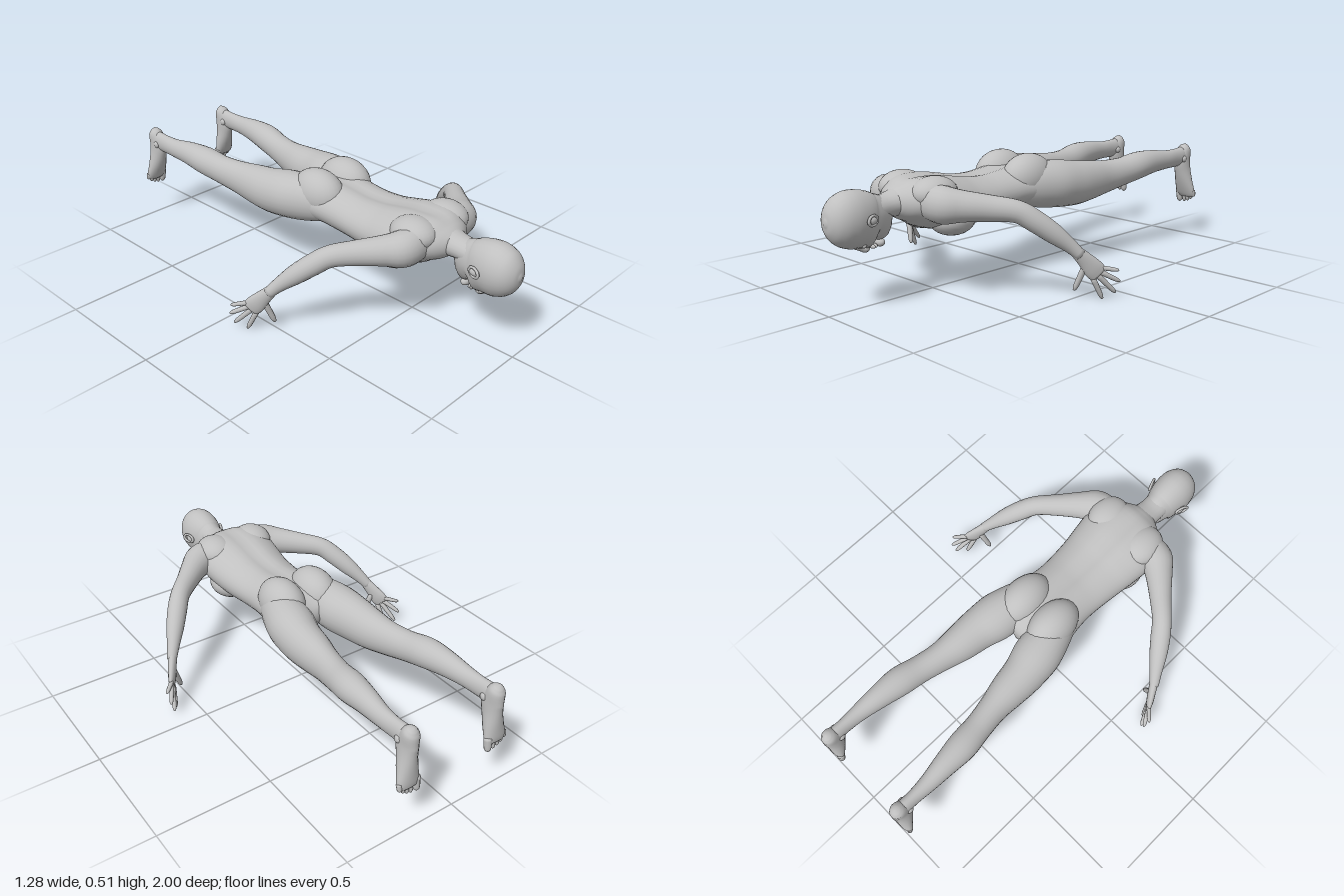
import * as THREE from 'three';

const skin = new THREE.MeshStandardMaterial({ color: 0xc0c0c0 });
skin.name = 'plain grey';

// Smooth closed tube through sections [x, y, z, halfSide, halfUp]; ref gives the "up" of each ring
function loft(name, sections, ref, { sides = 20, steps = 4, warp = null } = {}) {
  const up = new THREE.Vector3(...ref);
  const path = new THREE.CatmullRomCurve3(sections.map(s => new THREE.Vector3(s[0], s[1], s[2])), false, 'catmullrom', 0.5);
  const size = new THREE.CatmullRomCurve3(sections.map(s => new THREE.Vector3(s[3], s[4], 0)), false, 'catmullrom', 0.5);
  const rows = (sections.length - 1) * steps;
  const pos = [], idx = [], caps = [];
  for (let i = 0; i <= rows; i++) {
    const c = path.getPoint(i / rows), r = size.getPoint(i / rows), t = path.getTangent(i / rows);
    const u = up.clone().addScaledVector(t, -up.dot(t)).normalize();
    const s = new THREE.Vector3().crossVectors(u, t);
    for (let j = 0; j < sides; j++) {
      const a = (j / sides) * Math.PI * 2;
      const p = c.clone().addScaledVector(s, Math.cos(a) * r.x).addScaledVector(u, Math.sin(a) * r.y);
      if (warp) warp(p, c);
      pos.push(p.x, p.y, p.z);
    }
    const bulge = Math.min(r.x, r.y) * 0.5;
    if (i === 0) caps.push(c.clone().addScaledVector(t, -bulge));
    if (i === rows) caps.push(c.clone().addScaledVector(t, bulge));
  }
  caps.forEach(c => pos.push(c.x, c.y, c.z));
  const start = (rows + 1) * sides, last = rows * sides;
  for (let j = 0; j < sides; j++) {
    const k = (j + 1) % sides;
    for (let i = 0; i < rows; i++) {
      const a = i * sides + j, b = i * sides + k;
      idx.push(a, b, a + sides, b, b + sides, a + sides);
    }
    idx.push(start, k, j, start + 1, last + j, last + k);
  }
  const g = new THREE.BufferGeometry();
  g.setAttribute('position', new THREE.Float32BufferAttribute(pos, 3));
  g.setIndex(idx);
  g.computeVertexNormals();
  const m = new THREE.Mesh(g, skin);
  m.name = name;
  return m;
}

function blob(name, p, r) {
  const g = new THREE.SphereGeometry(1, 24, 16);
  g.scale(...r);
  const m = new THREE.Mesh(g, skin);
  m.name = name;
  m.position.set(...p);
  return m;
}

// Finger or toe: rounded tapering rod from base to tip
function digit(name, a, b, r, ref) {
  const at = (t, k) => [0, 1, 2].map(i => a[i] + (b[i] - a[i]) * t).concat(r * k, r * k);
  return loft(name, [at(0, 1.1), at(0.5, 1), at(0.85, 0.85), at(1, 0.45)], ref, { sides: 10, steps: 3 });
}

export function createModel() {
  const body = new THREE.Group();
  body.name = 'proneFigure';
  const Y = [0, 1, 0];

  // Torso with a shallow groove along the spine
  body.add(loft('torso', [
    [0, 0.395, 0.70, 0.06, 0.045], [0, 0.395, 0.66, 0.12, 0.073], [0, 0.395, 0.60, 0.172, 0.10],
    [0, 0.380, 0.52, 0.188, 0.113], [0, 0.366, 0.44, 0.18, 0.113], [0, 0.358, 0.36, 0.168, 0.107],
    [0, 0.360, 0.26, 0.158, 0.099], [0, 0.366, 0.18, 0.155, 0.10], [0, 0.375, 0.10, 0.163, 0.10],
    [0, 0.380, 0.02, 0.178, 0.10], [0, 0.370, -0.05, 0.165, 0.08], [0, 0.36, -0.085, 0.10, 0.05],
  ], Y, {
    sides: 40,
    warp: (p, c) => {
      if (p.y > c.y) p.y -= 0.016 * Math.exp(-((p.x / 0.035) ** 2)) * Math.min(1, Math.max(0, (0.68 - p.z) / 0.1));
    },
  }));

  // Neck
  body.add(loft('neck', [
    [0, 0.400, 0.60, 0.10, 0.07], [0, 0.396, 0.66, 0.075, 0.06], [0, 0.390, 0.72, 0.058, 0.048],
    [0, 0.385, 0.77, 0.057, 0.05], [0, 0.38, 0.82, 0.06, 0.06],
  ], Y));

  // Head, from chin to crown, facing down
  const head = new THREE.Group();
  head.name = 'head';
  head.add(loft('skull', [
    [0, 0.275, 0.745, 0.026, 0.028], [0, 0.305, 0.76, 0.046, 0.066], [0, 0.336, 0.785, 0.063, 0.099],
    [0, 0.346, 0.82, 0.075, 0.107], [0, 0.357, 0.86, 0.085, 0.112], [0, 0.362, 0.90, 0.088, 0.112],
    [0, 0.363, 0.94, 0.081, 0.10], [0, 0.363, 0.97, 0.064, 0.078], [0, 0.363, 0.99, 0.038, 0.046],
    [0, 0.363, 0.997, 0.014, 0.016],
  ], Y, { sides: 28 }));
  head.add(loft('nose', [
    [0, 0.250, 0.872, 0.009, 0.008], [0, 0.242, 0.845, 0.011, 0.012],
    [0, 0.236, 0.825, 0.017, 0.015], [0, 0.243, 0.813, 0.013, 0.010],
  ], Y, { sides: 12 }));
  head.add(blob('upperLip', [0, 0.241, 0.796, ], [0.025, 0.009, 0.007]));
  head.add(blob('lowerLip', [0, 0.242, 0.784], [0.021, 0.009, 0.007]));
  head.add(blob('chin', [0, 0.251, 0.758], [0.026, 0.018, 0.018]));
  body.add(head);

  for (const s of [1, -1]) {
    const side = s > 0 ? 'left' : 'right';
    const mx = list => list.map(([x, ...rest]) => [x * s, ...rest]);
    const pt = (x, y, z) => [x * s, y, z];

    // Eye and ear
    head.add(blob(side + 'Eye', pt(0.032, 0.261, 0.855), [0.016, 0.011, 0.010]));
    head.add(blob(side + 'EarInner', pt(0.084, 0.362, 0.85), [0.012, 0.016, 0.024]));
    const rim = new THREE.Mesh(new THREE.TorusGeometry(0.021, 0.006, 8, 20), skin);
    rim.name = side + 'EarRim';
    rim.rotation.y = s * (Math.PI / 2 + 0.35);
    rim.scale.set(1.3, 0.9, 1);
    rim.position.set(s * 0.092, 0.365, 0.85);
    head.add(rim);

    // Chest, shoulder blade and buttock masses
    body.add(blob(side + 'Chest', pt(0.09, 0.308, 0.465), [0.088, 0.066, 0.10]));
    body.add(blob(side + 'ShoulderBlade', pt(0.10, 0.43, 0.565), [0.085, 0.066, 0.10]));
    body.add(blob(side + 'Buttock', pt(0.083, 0.418, 0.03), [0.09, 0.103, 0.13]));

    // Arm from shoulder to wrist
    body.add(loft(side + 'Arm', mx([
      [0.09, 0.405, 0.605, 0.05, 0.07], [0.175, 0.395, 0.58, 0.072, 0.075], [0.235, 0.392, 0.535, 0.060, 0.062],
      [0.31, 0.385, 0.465, 0.048, 0.052], [0.385, 0.373, 0.395, 0.042, 0.045], [0.43, 0.335, 0.345, 0.043, 0.044],
      [0.475, 0.285, 0.29, 0.038, 0.040], [0.515, 0.235, 0.24, 0.027, 0.029], [0.543, 0.195, 0.207, 0.021, 0.023],
    ]), Y));

    // Hand in a near-vertical plane, fingers fanned
    const hand = new THREE.Group();
    hand.name = side + 'Hand';
    const n = pt(0.81, 0, 0.58);
    hand.add(loft(side + 'Palm', mx([
      [0.530, 0.213, 0.222, 0.023, 0.02], [0.553, 0.172, 0.188, 0.032, 0.018],
      [0.572, 0.135, 0.160, 0.040, 0.016], [0.585, 0.112, 0.142, 0.037, 0.011],
    ]), n, { sides: 16 }));
    hand.add(digit('indexFinger', pt(0.570, 0.095, 0.160), pt(0.585, 0.009, 0.120), 0.0105, n));
    hand.add(digit('middleFinger', pt(0.580, 0.110, 0.147), pt(0.614, 0.030, 0.075), 0.0105, n));
    hand.add(digit('ringFinger', pt(0.587, 0.122, 0.138), pt(0.630, 0.078, 0.068), 0.010, n));
    hand.add(digit('littleFinger', pt(0.590, 0.138, 0.132), pt(0.637, 0.128, 0.085), 0.009, n));
    hand.add(digit('thumb', pt(0.550, 0.150, 0.185), pt(0.511, 0.046, 0.205), 0.0125, n));
    body.add(hand);

    // Leg from hip to ankle
    body.add(loft(side + 'Leg', mx([
      [0.09, 0.385, 0.09, 0.065, 0.08], [0.105, 0.383, 0, 0.088, 0.10], [0.122, 0.377, -0.10, 0.102, 0.105],
      [0.140, 0.368, -0.20, 0.090, 0.10], [0.148, 0.368, -0.30, 0.078, 0.09], [0.160, 0.373, -0.40, 0.062, 0.076],
      [0.177, 0.385, -0.50, 0.058, 0.066], [0.192, 0.403, -0.60, 0.062, 0.064], [0.200, 0.410, -0.70, 0.050, 0.055],
      [0.207, 0.408, -0.80, 0.037, 0.045], [0.208, 0.408, -0.88, 0.029, 0.044], [0.208, 0.412, -0.94, 0.029, 0.044],
      [0.208, 0.418, -0.97, 0.022, 0.032],
    ]), Y, { sides: 24 }));

    // Foot hanging down from the ankle, sole to the back
    const foot = new THREE.Group();
    foot.name = side + 'Foot';
    foot.add(loft(side + 'FootBody', mx([
      [0.208, 0.462, -0.968, 0.018, 0.018], [0.208, 0.440, -0.961, 0.032, 0.036], [0.208, 0.390, -0.948, 0.033, 0.050],
      [0.210, 0.340, -0.952, 0.036, 0.044], [0.213, 0.280, -0.963, 0.045, 0.034], [0.217, 0.230, -0.975, 0.051, 0.023],
      [0.217, 0.208, -0.981, 0.046, 0.015],
    ]), [0, 0, 1]));
    for (const b of [0.036, -0.036])
      foot.add(blob(side + 'AnkleBone', pt(0.208 + b * 0.75, 0.40, -0.925), [0.011, 0.016, 0.016]));
    for (let i = 0; i < 5; i++) {
      const x = [0.180, 0.207, 0.226, 0.244, 0.260][i];
      const tip = [0.174, 0.176, 0.182, 0.192, 0.206][i];
      foot.add(digit('toe' + (i + 1), pt(x, 0.235, -0.977), pt(x, tip, -0.984), i ? 0.0105 : 0.016, [0, 0, 1]));
    }
    body.add(foot);
  }
  return body;
}
